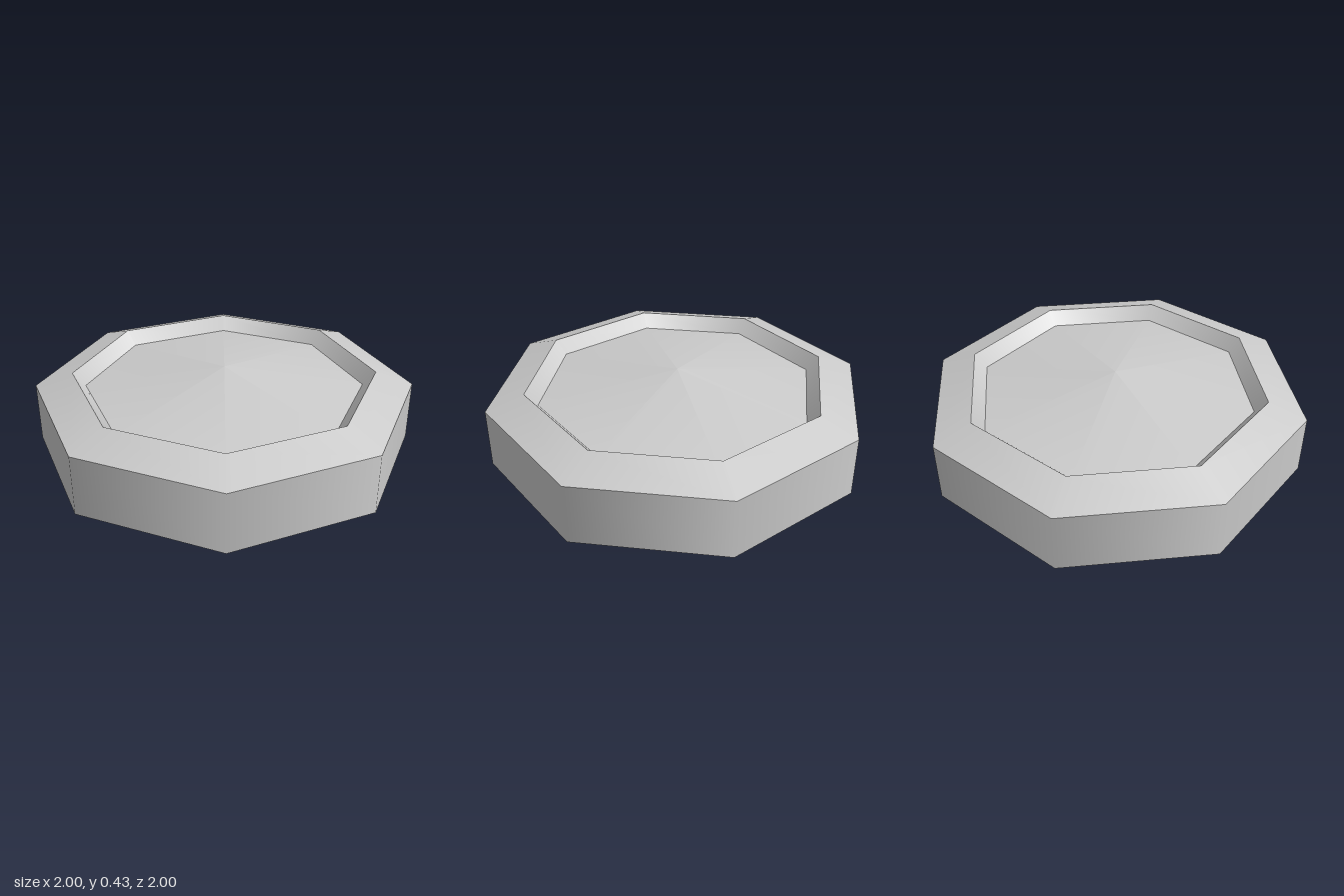
import * as THREE from 'three';

const SIDES = 8;

export function createModel() {
  const group = new THREE.Group();
  group.name = 'octagonalDisc';
  const material = new THREE.MeshStandardMaterial({ color: 0xcccccc });

  // One revolved band per profile segment: smooth around, sharp between bands
  const band = (name, r0, y0, r1, y1) => {
    const points = [new THREE.Vector2(r0, y0), new THREE.Vector2(r1, y1)];
    const mesh = new THREE.Mesh(new THREE.LatheGeometry(points, SIDES), material);
    mesh.name = name;
    group.add(mesh);
  };

  band('base', 0, 0, 1, 0);
  band('outerWall', 1, 0, 1, 0.318);
  band('rimBevel', 1, 0.318, 0.8, 0.39);
  band('recessWall', 0.8, 0.39, 0.735, 0.317);
  // Shallow raised centre inside the recess
  band('domedTop', 0.735, 0.317, 0, 0.426);

  return group;
}
